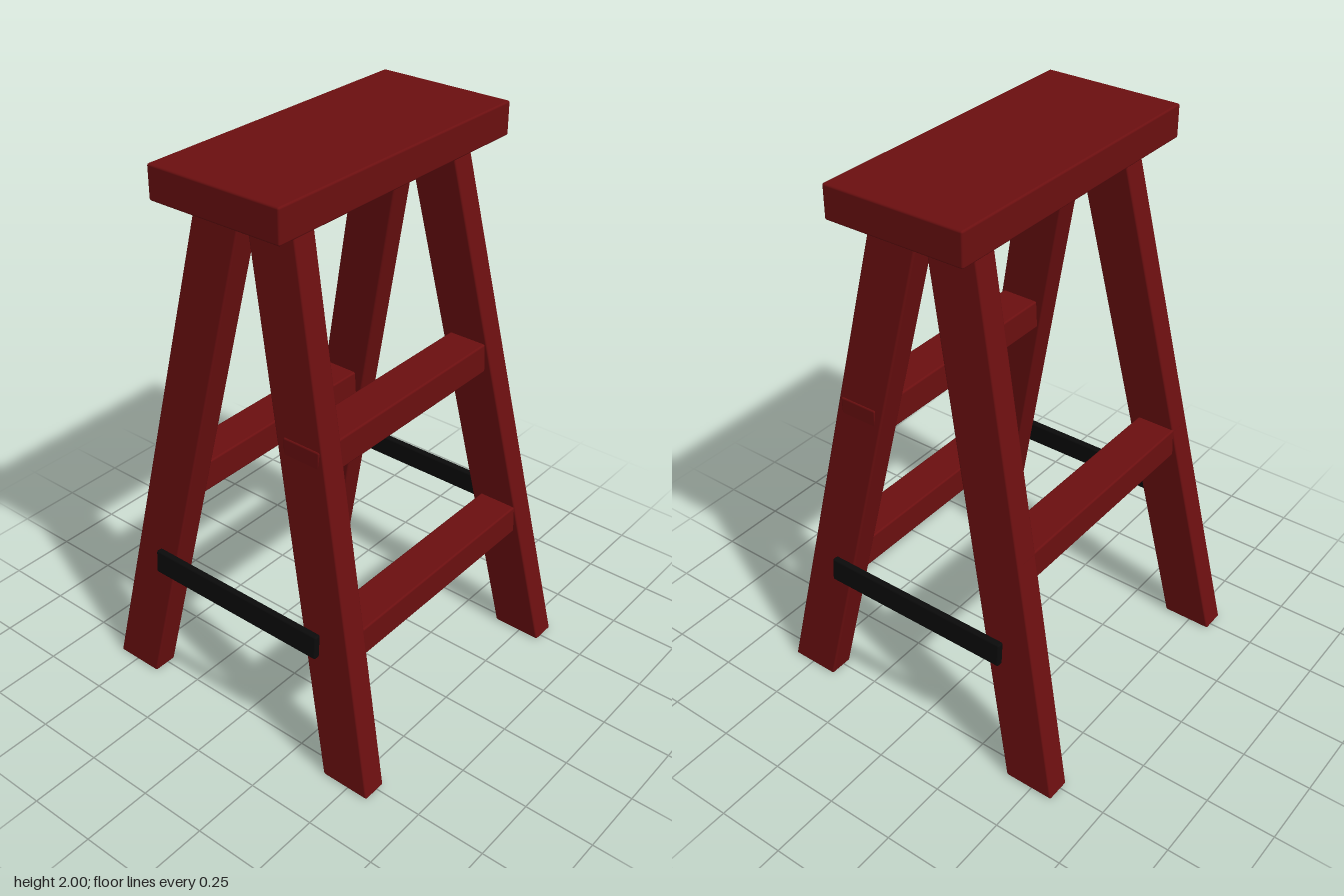
import * as THREE from 'three';
import { RoundedBoxGeometry } from 'three/addons/geometries/RoundedBoxGeometry.js';

const LEG_HEIGHT = 1.885;

export function createModel() {
  const model = new THREE.Group();
  const wood = new THREE.MeshStandardMaterial({ color: 0x6b0f10 });
  const black = new THREE.MeshStandardMaterial({ color: 0x0b0b0b });

  // Softly rounded board, placed by its centre
  function board(name, size, position, material = wood) {
    const mesh = new THREE.Mesh(new RoundedBoxGeometry(...size, 2, 0.007), material);
    mesh.name = name;
    mesh.position.set(...position);
    model.add(mesh);
    return mesh;
  }

  board('seat', [1.11, 0.115, 0.505], [0, 1.9425, 0]);

  // Splayed legs: boxes sheared so both ends stay level
  for (const sx of [-1, 1]) {
    for (const sz of [-1, 1]) {
      const name = (sz > 0 ? 'front' : 'back') + (sx > 0 ? 'Left' : 'Right') + 'Leg';
      const leg = board(name, [0.09, LEG_HEIGHT, 0.183], [0, LEG_HEIGHT / 2, 0]);
      const pos = leg.geometry.attributes.position;
      for (let i = 0; i < pos.count; i++) {
        const t = pos.getY(i) / LEG_HEIGHT + 0.5;
        pos.setX(i, pos.getX(i) + sx * THREE.MathUtils.lerp(0.515, 0.384, t));
        pos.setZ(i, pos.getZ(i) + sz * THREE.MathUtils.lerp(0.49, 0.098, t));
      }
      // Lean the normals to match the shear
      const normal = leg.geometry.attributes.normal;
      const n = new THREE.Vector3();
      for (let i = 0; i < normal.count; i++) {
        n.fromBufferAttribute(normal, i);
        n.y += (n.x * sx * 0.131 + n.z * sz * 0.392) / LEG_HEIGHT;
        n.normalize();
        normal.setXYZ(i, n.x, n.y, n.z);
      }
    }
  }

  // Cross rungs between the legs
  const rung = [0.96, 0.11, 0.144];
  board('upperFrontRung', rung, [0, 1.155, 0.25]);
  board('lowerFrontRung', rung, [0, 0.52, 0.388]);
  board('backRung', rung, [0, 0.825, -0.328]);

  // Dark side braces, lying against the outside of the legs
  for (const s of [-1, 1]) {
    const brace = board(s > 0 ? 'leftBrace' : 'rightBrace', [0.025, 0.088, 0.718], [s * 0.538, 0.517, 0], black);
    brace.rotation.z = s * 0.07;
  }

  return model;
}
